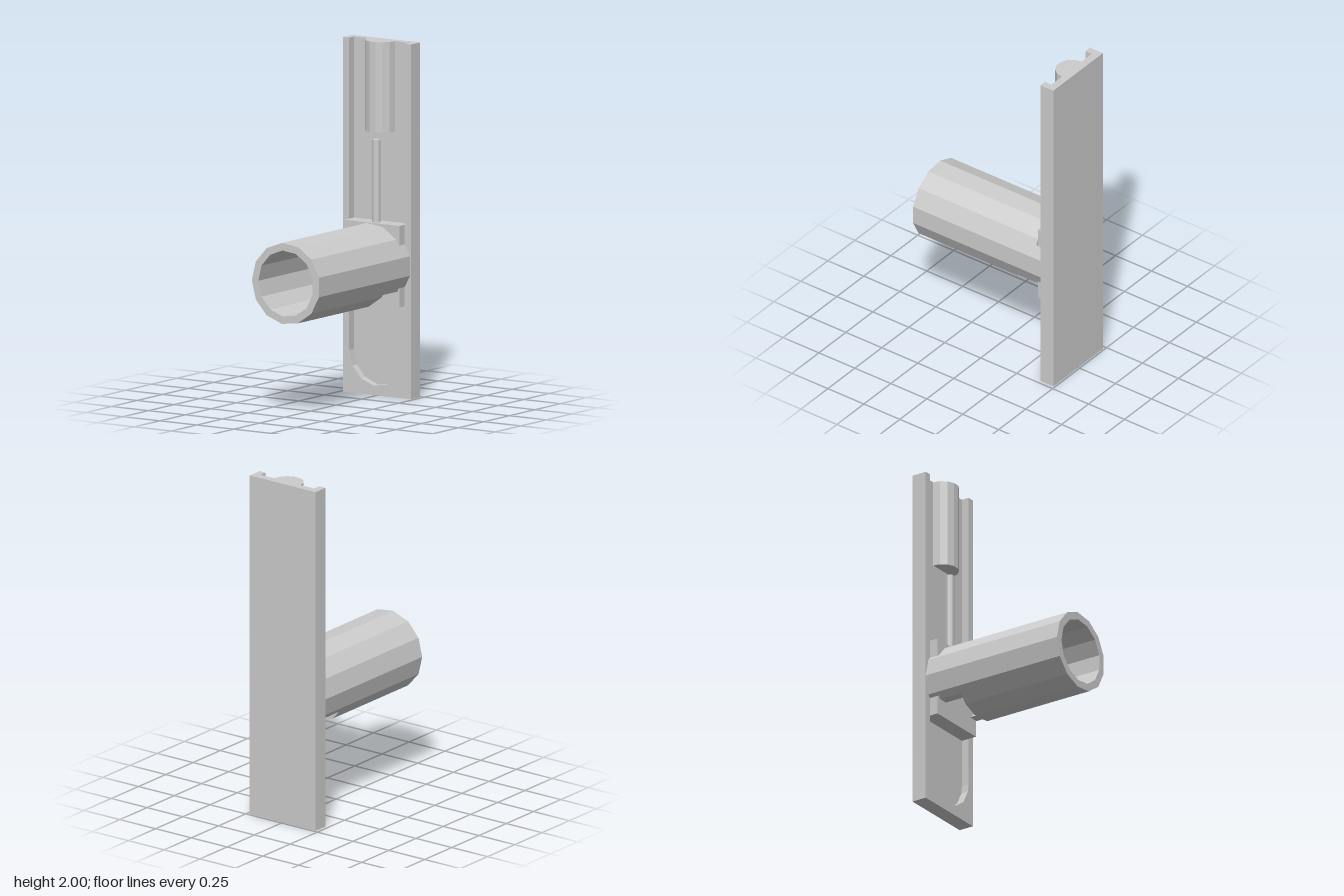
import * as THREE from 'three';

const SIDES = 13, TUBE_Y = 0.75, R_OUT = 0.23, R_IN = 0.187;
const PLATE_BACK = -0.49, FLOOR = -0.445, PLATE_FRONT = -0.4;

// Corners of the 13-sided profile, starting at the left edge and running anticlockwise
function corners(radius, cy, from, count) {
  return Array.from({ length: count }, (_, i) => {
    const a = Math.PI + (from + i) * 2 * Math.PI / SIDES;
    return new THREE.Vector2(radius * Math.cos(a), cy + radius * Math.sin(a));
  });
}

// Keeps the part of a polyline where sign * (p[axis] - limit) >= 0
function clip(points, axis, limit, sign) {
  const out = [];
  points.forEach((p, i) => {
    const d = sign * (p[axis] - limit);
    if (i > 0) {
      const q = points[i - 1], e = sign * (q[axis] - limit);
      if (d * e < 0) out.push(q.clone().lerp(p, e / (e - d)));
    }
    if (d >= 0) out.push(p);
  });
  return out;
}

export function createModel() {
  const group = new THREE.Group();
  const material = new THREE.MeshStandardMaterial({ color: 0xcccccc, flatShading: true });

  function add(name, geometry, x = 0, y = 0, z = 0) {
    const mesh = new THREE.Mesh(geometry, material);
    mesh.name = name;
    mesh.position.set(x, y, z);
    group.add(mesh);
  }
  function slab(name, shape, z0, z1) {
    add(name, new THREE.ExtrudeGeometry(shape, { depth: z1 - z0, bevelEnabled: false }), 0, 0, z0);
  }

  // Back plate with a raised rim around a round-ended channel, open at the top
  add('backPlate', new THREE.BoxGeometry(0.46, 2, FLOOR - PLATE_BACK), 0, 1, (FLOOR + PLATE_BACK) / 2);
  const v = (x, y) => new THREE.Vector2(x, y);
  slab('plateRim', new THREE.Shape([
    v(-0.23, 2), v(-0.23, 0), v(0.23, 0), v(0.23, 2), v(R_IN, 2), v(R_IN, 0.24),
    ...corners(R_IN, 0.24, 0, 7).reverse(), v(-R_IN, 2),
  ]), FLOOR, PLATE_FRONT);

  // Half-round post at the top of the channel
  add('topPost', new THREE.CylinderGeometry(0.092, 0.092, 0.51, 7, 1, false, -Math.PI / 2, Math.PI),
    0, 1.745, FLOOR);

  // Slide block behind the tube, with a thin pin standing on it
  add('slideBlock', new THREE.BoxGeometry(2 * R_IN, 0.46, 0.095), 0, TUBE_Y, -0.3975);
  add('pin', new THREE.CylinderGeometry(0.024, 0.024, 0.465, SIDES), 0, 1.2125, -0.394);

  // Tube: full ring at the front
  const ring = new THREE.Shape(corners(R_OUT, TUBE_Y, 0, SIDES));
  ring.holes.push(new THREE.Path(corners(R_IN, TUBE_Y, 0, SIDES)));
  slab('tube', ring, -0.2, 0.49);

  // Tube: section with the underside cut away
  const outer = clip(corners(R_OUT, TUBE_Y, 3, SIDES + 1), 'y', 0.61, 1);
  const inner = clip(corners(R_IN, TUBE_Y, 3, SIDES + 1), 'y', 0.61, 1);
  slab('tubeNotchedSection', new THREE.Shape([...outer, ...inner.reverse()]), -0.34, -0.2);

  // Tube: side strips that join it to the plate rim
  for (const side of [-1, 1]) {
    const strip = clip(corners(R_OUT, TUBE_Y, 3, SIDES + 1), 'x', side * 0.189, side);
    slab(side < 0 ? 'rightTubeStrip' : 'leftTubeStrip', new THREE.Shape(strip), PLATE_FRONT, -0.34);
  }
  return group;
}
